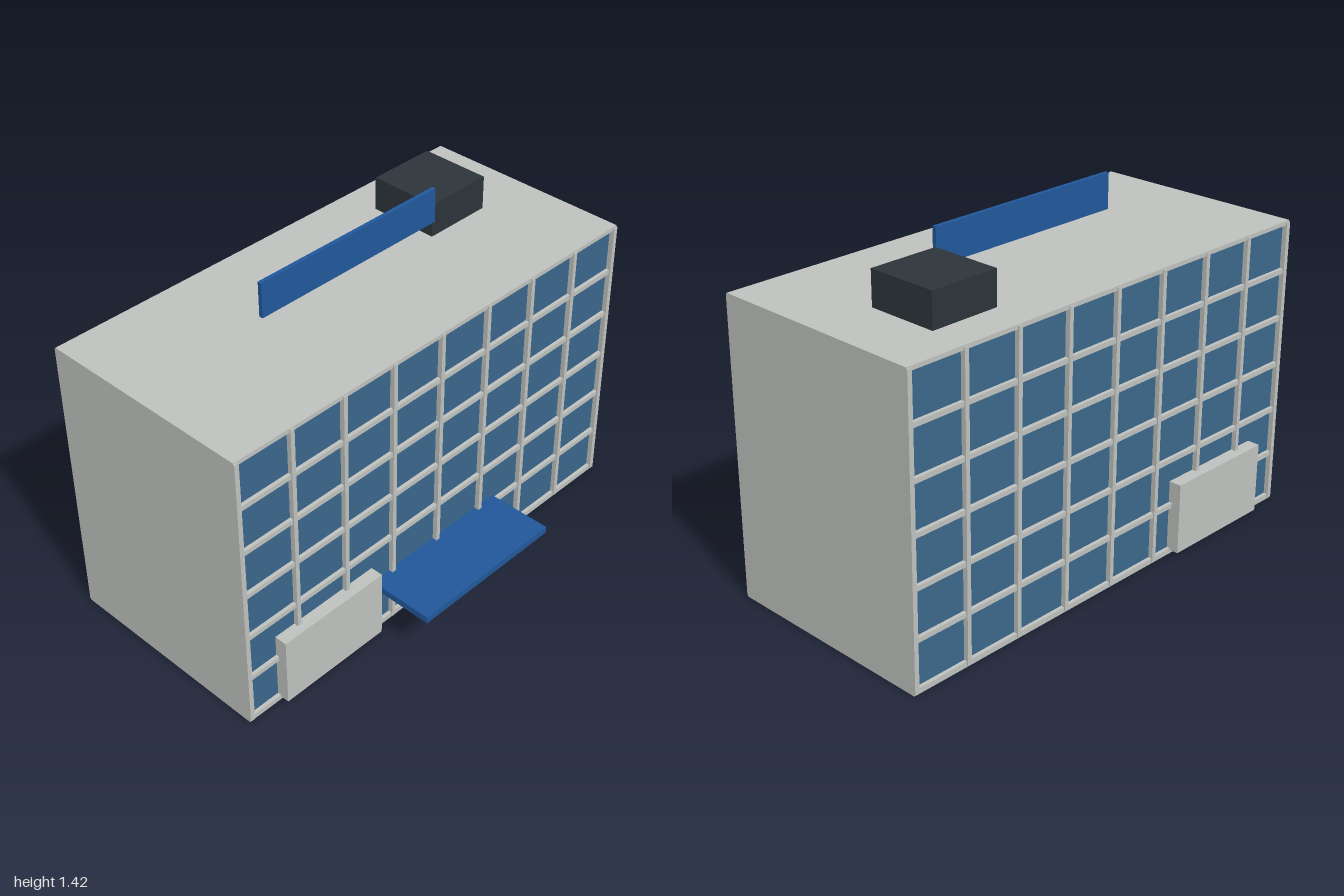
import * as THREE from 'three';

const mat = (name, color) => {
  const m = new THREE.MeshStandardMaterial({ color });
  m.name = name;
  return m;
};

export function createModel() {
  const concrete = mat('concrete', 0xbfc1bd);
  const glass = mat('glass', 0x3b678b);
  const blue = mat('blue', 0x21579a);
  const dark = mat('dark grey', 0x2c343a);

  const model = new THREE.Group();
  model.name = 'officeBlock';

  // Box given by its lower and upper limits on each axis
  const box = (name, material, [x0, x1], [y0, y1], [z0, z1], parent = model) => {
    const mesh = new THREE.Mesh(new THREE.BoxGeometry(x1 - x0, y1 - y0, z1 - z0), material);
    mesh.position.set((x0 + x1) / 2, (y0 + y1) / 2, (z0 + z1) / 2);
    mesh.name = name;
    parent.add(mesh);
    return mesh;
  };

  const height = 1.21, front = 0.345, back = -0.567, recess = 0.015;
  const rows = 6, columns = 8;

  // Solid block behind the glazing
  box('body', concrete, [-1, 1], [0, height], [back + recess + 0.004, front - recess - 0.004]);

  // Both long faces: glass, floor bands and mullions
  for (const [side, face, out] of [['front', front, 1], ['back', back, -1]]) {
    const facade = new THREE.Group();
    facade.name = side + 'Facade';
    model.add(facade);
    const span = (a, b) => [Math.min(face + out * a, face + out * b), Math.max(face + out * a, face + out * b)];

    box('glazing', glass, [-0.99, 0.99], [0.01, 1.2], span(-recess - 0.008, -recess), facade);

    for (let i = 0; i <= rows; i++) {
      const y = 0.0125 + (i * (height - 0.02)) / rows;
      const y0 = i === 0 ? 0 : y - 0.01;
      const y1 = i === rows ? height : y + 0.01;
      box('floorBand', concrete, [-1, 1], [y0, y1], span(-recess - 0.01, 0), facade);
    }
    for (let i = 0; i <= columns; i++) {
      const x = -0.99 + (i * 1.98) / columns;
      const w = i % columns === 0 ? 0.0099 : 0.009;
      box('mullion', concrete, [x - w, x + w], [0.006, height - 0.006], span(-recess - 0.01, 0.005), facade);
    }

    // Projecting wall panel
    box('wallPanel', concrete, [-0.845, -0.35], [0.015, 0.31], span(-recess, 0.038), facade);
  }

  // Entrance canopy
  box('canopy', blue, [-0.345, 0.345], [0.208, 0.237], [front - recess, 0.607]);

  // Rooftop sign board and plant room
  box('signBoard', blue, [-0.447, 0.447], [1.28, 1.425], [-0.119, -0.102]);
  box('plantRoom', dark, [0.445, 0.74], [height, 1.35], [-0.41, -0.113]);

  return model;
}
